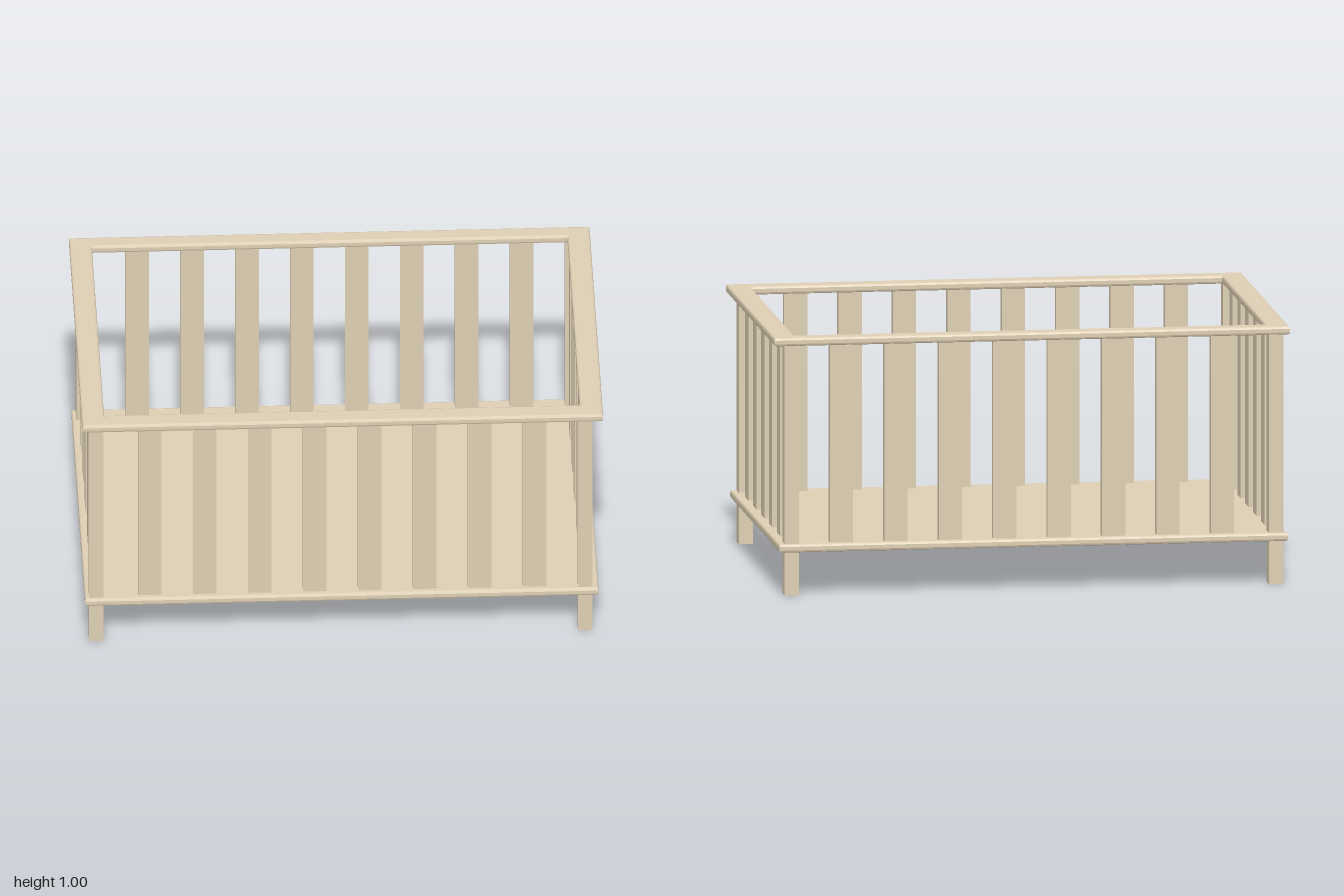
import * as THREE from 'three';

const wood = new THREE.MeshStandardMaterial({ color: 0xdecfb4, flatShading: true });
const BEVEL = 0.009;

function addRect(path, x0, x1, z0, z1) {
  path.moveTo(x0, -z1);
  path.lineTo(x1, -z1);
  path.lineTo(x1, -z0);
  path.lineTo(x0, -z0);
  path.closePath();
  return path;
}

// Horizontal slab with softened edges; outer and hole are [x0, x1, z0, z1]
function slab(name, y0, y1, outer, hole) {
  const b = BEVEL;
  const grow = ([x0, x1, z0, z1], d) => [x0 - d, x1 + d, z0 - d, z1 + d];
  const shape = addRect(new THREE.Shape(), ...grow(outer, -b));
  if (hole) shape.holes.push(addRect(new THREE.Path(), ...grow(hole, b)));
  const geo = new THREE.ExtrudeGeometry(shape, {
    depth: y1 - y0 - 2 * b, bevelEnabled: true, bevelSize: b, bevelThickness: b, bevelSegments: 2,
  });
  geo.rotateX(-Math.PI / 2);
  geo.translate(0, y0 + b, 0);
  const mesh = new THREE.Mesh(geo, wood);
  mesh.name = name;
  return mesh;
}

// Upright bar standing between two heights
function bar(name, x, z, width, depth, y0, y1) {
  const mesh = new THREE.Mesh(new THREE.BoxGeometry(width, y1 - y0, depth), wood);
  mesh.name = name;
  mesh.position.set(x, (y0 + y1) / 2, z);
  return mesh;
}

export function createModel() {
  const model = new THREE.Group();
  model.name = 'crib';

  const floorTop = 0.2, railBottom = 0.968;
  const slatWidth = 0.09, slatDepth = 0.036;
  const postX = [-0.946, 0.929], postZ = [-0.613, 0.613];

  // Floor panel and open top frame
  model.add(slab('floor', 0.168, floorTop, [-0.99, 0.98, -0.658, 0.656]));
  model.add(slab('topRail', railBottom, 1, [-1, 0.997, -0.648, 0.656], [-0.914, 0.91, -0.58, 0.579]));

  // Corner posts running from the ground to the rail
  for (const x of postX) {
    for (const z of postZ) model.add(bar('cornerPost', x, z, 0.056, 0.057, 0, railBottom + 0.005));
  }

  // Slats along the front and back
  for (const z of postZ) {
    for (let i = 0; i < 8; i++) {
      model.add(bar(z > 0 ? 'frontSlat' : 'backSlat', -0.74 + i * 0.2107, z, slatWidth, slatDepth, floorTop, railBottom));
    }
  }

  // Slats along both ends
  for (const x of postX) {
    for (let i = 0; i < 5; i++) {
      model.add(bar(x > 0 ? 'leftSlat' : 'rightSlat', x, 0.438 - i * 0.2115, slatDepth, slatWidth, floorTop, railBottom));
    }
  }
  return model;
}
